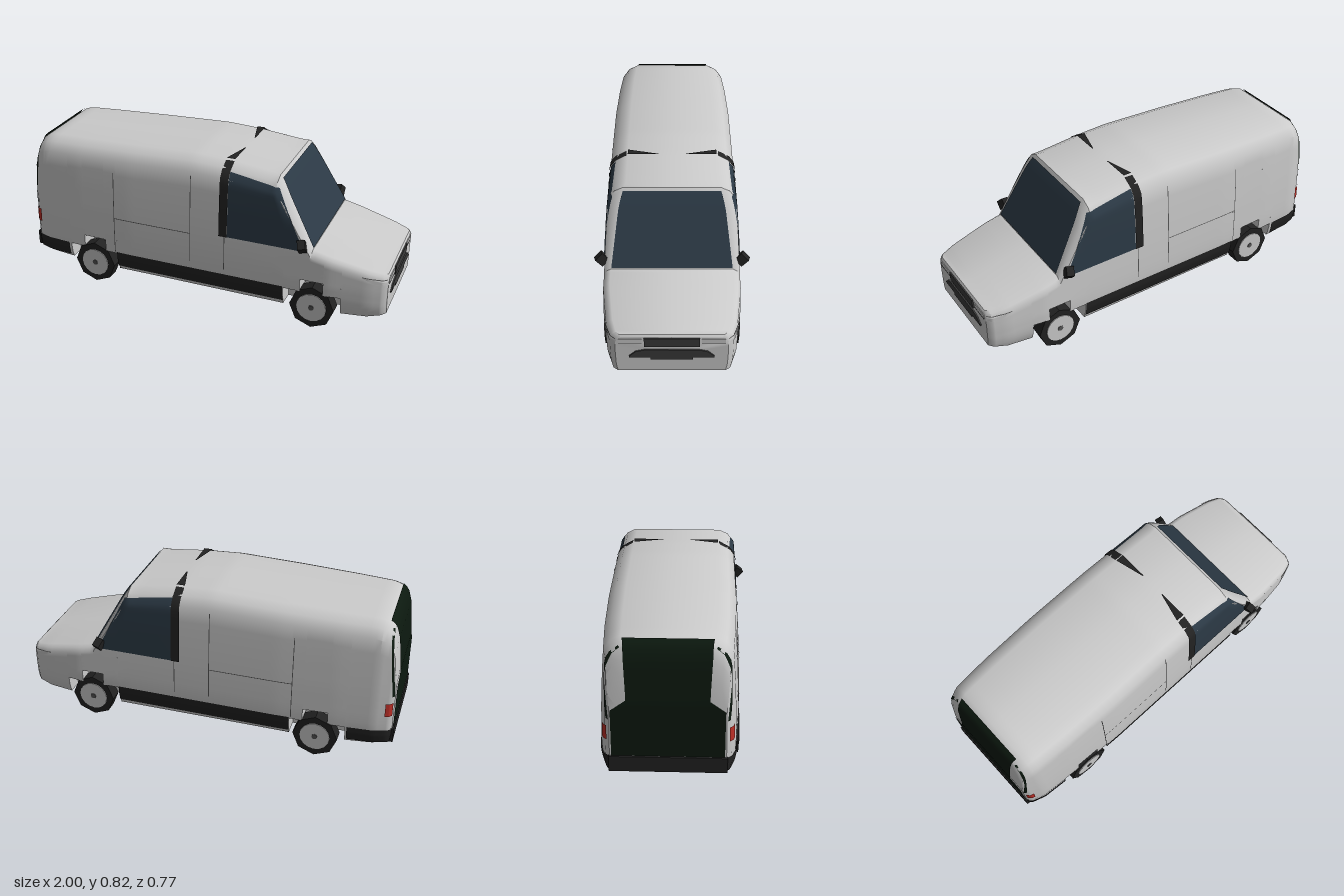
import * as THREE from 'three';
import { toCreasedNormals } from 'three/addons/utils/BufferGeometryUtils.js';

const mat = (color) => new THREE.MeshStandardMaterial({ color, side: THREE.DoubleSide });
const paint = mat(0xcccccc), black = mat(0x222222), glass = mat(0x2c3a46);
const rearDark = mat(0x0c190f), red = mat(0xc03028), seamMat = mat(0x555555), grilleMat = mat(0x3a3a3a);

// Piecewise linear curve through [t, value] pairs
const curve = (pts) => (t) => {
  if (t <= pts[0][0]) return pts[0][1];
  for (let i = 1; i < pts.length; i++) {
    const [a, va] = pts[i - 1], [b, vb] = pts[i];
    if (t <= b) return va + (vb - va) * (t - a) / (b - a);
  }
  return pts[pts.length - 1][1];
};

// Body shape along its length (x): plan width, roof line, underside, roof shoulder
const plan = curve([[-0.99, 0.27], [-0.97, 0.292], [-0.9, 0.315], [-0.7, 0.33], [-0.4, 0.34], [0.7, 0.338], [0.9, 0.312], [0.97, 0.29], [0.992, 0.265]]);
const roof = curve([[-0.99, 0.5], [-0.97, 0.69], [-0.95, 0.755], [-0.92, 0.778], [-0.88, 0.79], [-0.04, 0.82], [0.14, 0.81], [0.41, 0.78],
  [0.44, 0.735], [0.61, 0.432], [0.8, 0.388], [0.96, 0.35], [0.985, 0.345], [0.992, 0.335]]);
const under = curve([[-0.99, 0.125], [-0.8, 0.11], [-0.5, 0.1], [0.6, 0.095], [0.9, 0.105], [0.992, 0.125]]);
const drop = curve([[0.38, 0.07], [0.6, 0.035], [0.99, 0.03]]);
const edge = curve([[0.38, 0.72], [0.46, 0.82], [0.61, 0.9], [0.99, 0.9]]);
const bulge = curve([[0.1, 0.93], [0.13, 0.965], [0.17, 0.99], [0.25, 1], [0.42, 0.985], [0.6, 0.955], [0.74, 0.92], [0.82, 0.9]]);
// Stepped wheel arches: [start x, end x, height]
const arches = [[-0.76, -0.67, 0.2], [-0.67, -0.54, 0.27], [-0.54, -0.47, 0.2],
  [0.47, 0.56, 0.2], [0.56, 0.68, 0.27], [0.68, 0.77, 0.2]];

const edgeZ = (x) => edge(x) * plan(x) * bulge(roof(x) - drop(x));
// Half width of the skin at a given x and height
function skinZ(x, y) {
  const T = roof(x), s = T - drop(x), w = plan(x) * bulge(Math.min(y, s));
  if (y <= s) return w;
  const k = Math.min(1, (y - s) / (T - s)), e = edgeZ(x), m = e + (w - e) * 0.6;
  return k < 0.65 ? w + (m - w) * k / 0.65 : m + (e - m) * (k - 0.65) / 0.35;
}

// Closed cross-section at x; arch is the height of the wheel opening
function section(x, arch) {
  const yb = under(x), a = Math.max(yb, arch), T = roof(x), d = drop(x), s = T - d;
  const half = [[0, yb], [0.23, yb], [0.23, a]];
  for (let i = 0; i <= 10; i++) {
    const y = a + (s - a) * Math.pow(i / 10, 1.3);
    half.push([skinZ(x, y), y]);
  }
  half.push([skinZ(x, s + 0.65 * d), s + 0.65 * d], [edgeZ(x), T], [0, T]);
  const mirrored = half.slice(1, -1).reverse().map(([z, y]) => [-z, y]);
  return half.concat(mirrored).map(([z, y]) => new THREE.Vector3(x, y, z));
}

function bodyGeometry() {
  const xs = new Set([-0.99, -0.98, -0.97, -0.96, -0.95, -0.935, -0.92, 0.41, 0.61, 0.97, 0.985, 0.992]);
  for (let i = -30; i <= 32; i++) xs.add(i * 0.03);
  arches.forEach(([a, b]) => xs.add(a).add(b));
  const rings = [];
  for (const x of [...xs].sort((p, q) => p - q)) {
    const at = (t) => arches.find(([a, b]) => t > a && t < b)?.[2] ?? 0;
    const before = at(x - 1e-5), after = at(x + 1e-5);
    rings.push(section(x, before));
    if (before !== after) rings.push(section(x, after));
  }
  const pos = [], ab = new THREE.Vector3(), ac = new THREE.Vector3();
  const tri = (a, b, c) => {
    if (ab.subVectors(b, a).cross(ac.subVectors(c, a)).length() > 1e-9) pos.push(...a, ...b, ...c);
  };
  const n = rings[0].length;
  for (let i = 0; i + 1 < rings.length; i++) for (let j = 0; j < n; j++) {
    const k = (j + 1) % n, p = rings[i], q = rings[i + 1];
    tri(p[j], q[k], q[j]);
    tri(p[j], p[k], q[k]);
  }
  // End caps
  const last = rings[rings.length - 1], first = rings[0];
  const c0 = new THREE.Vector3(first[0].x, 0.3, 0), c1 = new THREE.Vector3(last[0].x, 0.22, 0);
  for (let j = 0; j < n; j++) {
    const k = (j + 1) % n;
    tri(c0, first[k], first[j]);
    tri(c1, last[j], last[k]);
  }
  const g = new THREE.BufferGeometry();
  g.setAttribute('position', new THREE.Float32BufferAttribute(pos, 3));
  return toCreasedNormals(g, 0.6);
}

export function createModel() {
  const van = new THREE.Group();
  van.name = 'van';
  const add = (name, geo, material, parent = van) => {
    const m = new THREE.Mesh(geo, material);
    m.name = name;
    parent.add(m);
    return m;
  };
  const box = (name, material, size, at) => add(name, new THREE.BoxGeometry(...size), material).position.set(...at);
  // Sheet whose vertices follow fn(u, v) -> [x, y, z]
  const sheet = (name, material, nu, nv, fn) => {
    const g = new THREE.PlaneGeometry(1, 1, nu, nv), p = g.attributes.position;
    for (let i = 0; i < p.count; i++) p.setXYZ(i, ...fn(p.getX(i) + 0.5, p.getY(i) + 0.5));
    g.computeVertexNormals();
    return add(name, g, material);
  };
  // Four-cornered panel lying on both flanks: bottom rear, bottom front, top front, top rear
  const flank = (name, material, [a, b, c, d], off = 0.004, nu = 12, nv = 12) => {
    for (const s of [1, -1]) sheet(name + (s > 0 ? 'Left' : 'Right').replace(/Left|Right/, (t) => (t === 'Left' ? 'Right' : 'Left')), material, nu, nv, (u, v) => {
      const mix = (i) => (a[i] * (1 - u) + b[i] * u) * (1 - v) + (d[i] * (1 - u) + c[i] * u) * v;
      const x = mix(0), y = mix(1);
      return [x, y, s * (skinZ(x, y) + off)];
    });
  };
  const rect = (x0, x1, y0, y1) => [[x0, y0], [x1, y0], [x1, y1], [x0, y1]];

  add('body', bodyGeometry(), paint);

  // Glass
  flank('sideWindow', glass, [[0.165, 0.43], [0.575, 0.43], [0.425, 0.735], [0.165, 0.775]]);
  sheet('windscreen', glass, 8, 12, (u, v) => {
    const x = 0.607 - 0.187 * v;
    return [x + 0.005, roof(x) + 0.003, (u * 2 - 1) * edgeZ(x) * 0.99];
  });

  // Dark pillar behind the cab doors, tapering over the roof
  flank('doorPillar', black, rect(0.12, 0.165, 0.43, 0.81), 0.007);
  for (const s of [1, -1]) sheet('pillarRoofEnd', black, 2, 6, (u, v) => {
    const z = edgeZ(0.14) * (1 - v) + 0.07 * v;
    const x0 = 0.12 + 0.04 * v;
    return [x0 + (0.165 - x0) * u, 0.818, s * z];
  });

  // Sills, side steps and rear bumper
  flank('sill', black, rect(-0.47, 0.47, 0.12, 0.21));
  flank('bumperSide', black, rect(-0.99, -0.77, 0.125, 0.205), 0.006);
  box('rearBumper', black, [0.02, 0.08, 0.55], [-0.99, 0.165, 0]);
  for (const s of [1, -1]) box('sideStep', black, [0.93, 0.014, 0.02], [-0.005, 0.105, s * 0.305]);

  // Dark rear doors wrapping up to the roof edge
  const rearX = curve([[0, -0.994], [0.55, -0.994], [0.8, -0.974], [0.92, -0.954], [1, -0.925]]);
  const rearY = curve([[0, 0.205], [0.55, 0.5], [0.8, 0.69], [0.92, 0.758], [1, 0.782]]);
  sheet('rearDoors', rearDark, 4, 20, (u, v) => {
    const x = rearX(v), w = v <= 0.55 ? Math.min(0.262, skinZ(-0.99, Math.min(rearY(v), 0.43))) : edgeZ(x);
    const blend = Math.min(1, Math.max(0, (v - 0.45) / 0.1));
    return [x, rearY(v) + 0.003, (u * 2 - 1) * (v <= 0.55 ? w + (edgeZ(-0.99) - w) * blend : w)];
  });
  flank('rearCornerTrim', rearDark, [[-0.989, 0.4], [-0.978, 0.4], [-0.94, 0.755], [-0.95, 0.75]]);
  flank('tailLight', red, rect(-0.985, -0.95, 0.29, 0.365), 0.008);

  // Nose: grilles and headlights
  box('upperGrille', grilleMat, [0.012, 0.05, 0.26], [0.993, 0.305, 0]);
  const lower = new THREE.Shape([[-0.2, 0.215], [-0.1, 0.215], [-0.1, 0.2], [0.1, 0.2], [0.1, 0.215], [0.2, 0.215],
    [0.2, 0.222], [0.17, 0.25], [0.13, 0.26], [-0.13, 0.26], [-0.17, 0.25], [-0.2, 0.222]].map((p) => new THREE.Vector2(...p)));
  const lowerGrille = add('lowerGrille', new THREE.ExtrudeGeometry(lower, { depth: 0.012, bevelEnabled: false }), grilleMat);
  lowerGrille.rotation.y = Math.PI / 2;
  lowerGrille.position.x = 0.987;
  for (const s of [1, -1]) {
    box('headlight', paint, [0.006, 0.024, 0.11], [0.992, 0.312, s * 0.195]);
    box('headlightEdge', seamMat, [0.006, 0.004, 0.11], [0.993, 0.298, s * 0.195]);
  }
  flank('headlightSide', paint, [[0.93, 0.305], [0.988, 0.3], [0.988, 0.32], [0.87, 0.335]], 0.004);
  flank('headlightSideEdge', seamMat, [[0.87, 0.336], [0.988, 0.321], [0.988, 0.325], [0.87, 0.34]], 0.004, 6, 1);

  // Door seams
  for (const [x, y0, y1] of [[-0.48, 0.21, 0.67], [-0.04, 0.25, 0.73], [0.15, 0.24, 0.43]])
    flank('doorSeam', seamMat, rect(x - 0.002, x + 0.002, y0, y1), 0.003, 1, 14);
  flank('slidingRail', seamMat, rect(-0.48, -0.04, 0.409, 0.413), 0.003, 14, 1);

  // Mirrors
  for (const s of [1, -1]) {
    const mirror = add('mirror', new THREE.BoxGeometry(0.04, 0.05, 0.05), black);
    mirror.position.set(0.565, 0.463, s * 0.345);
    mirror.rotation.x = s * 0.75;
    mirror.rotation.y = s * 0.3;
  }

  // Wheels: eight-sided tyres with round hubs
  for (const x of [-0.61, 0.625]) for (const s of [1, -1]) {
    const wheel = new THREE.Group();
    wheel.name = 'wheel';
    wheel.position.set(x, 0.117, s * 0.3);
    wheel.rotation.x = s * Math.PI / 2;
    van.add(wheel);
    add('tyre', toCreasedNormals(new THREE.CylinderGeometry(0.117, 0.117, 0.07, 8), 0.3), black, wheel);
    add('hub', new THREE.CylinderGeometry(0.078, 0.082, 0.078, 16), paint, wheel);
    add('hubCap', new THREE.CylinderGeometry(0.015, 0.018, 0.084, 8), seamMat, wheel);
  }
  return van;
}
